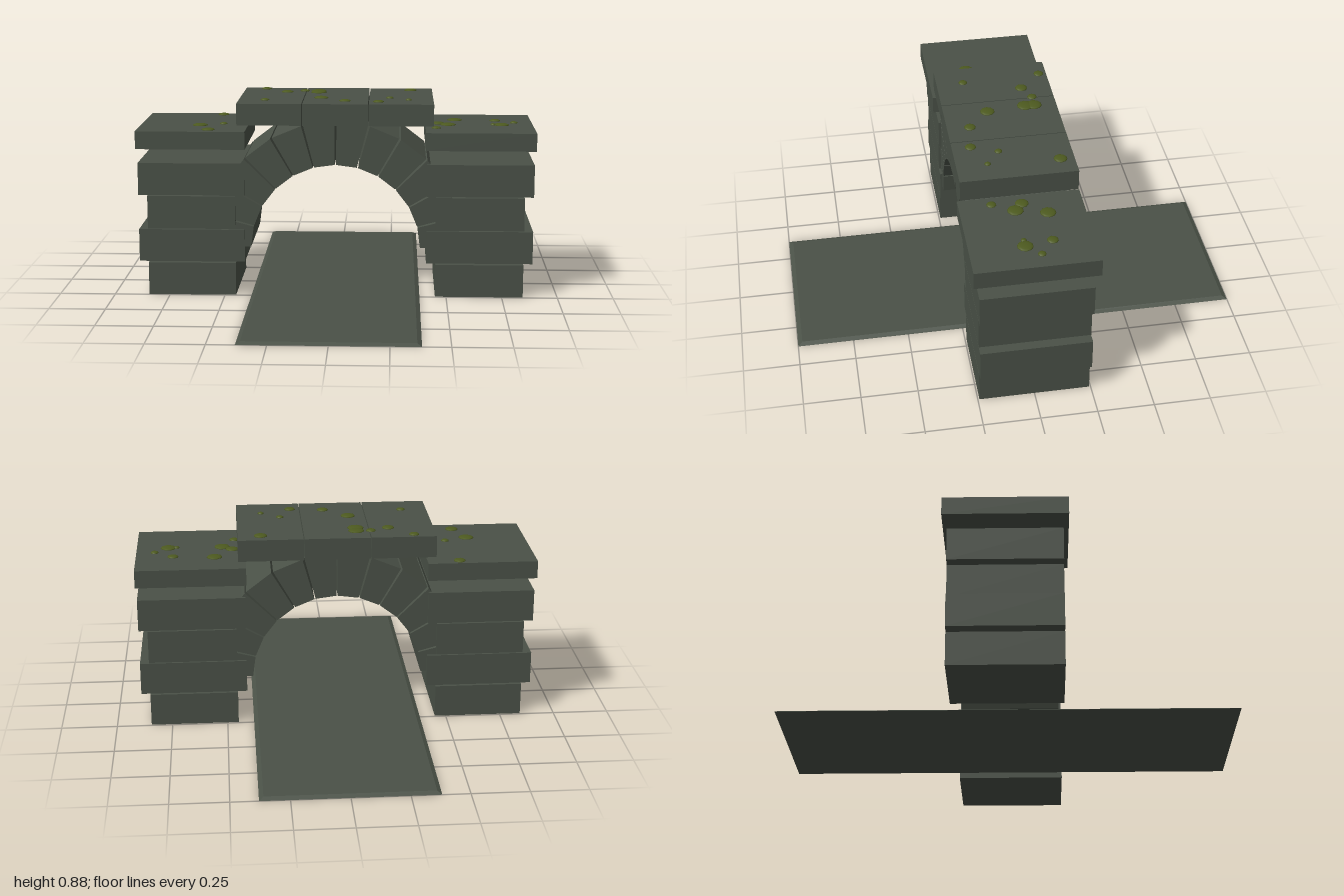
import * as THREE from 'three';

export function createModel() {
  const model = new THREE.Group();
  model.name = 'stoneArchBridge';

  const stone = new THREE.MeshStandardMaterial({ color: 0x4a5147 });
  stone.name = 'mossy grey stone';
  const moss = new THREE.MeshStandardMaterial({ color: 0x4d5a1f });
  moss.name = 'moss green';

  const add = (name, geometry, material, parent = model) => {
    const mesh = new THREE.Mesh(geometry, material);
    mesh.name = name;
    parent.add(mesh);
    return mesh;
  };

  // Block given by its x and y limits and its depth, centred on z = 0
  const block = (name, x0, x1, y0, y1, depth, parent) => {
    const mesh = add(name, new THREE.BoxGeometry(x1 - x0, y1 - y0, depth), stone, parent);
    mesh.position.set((x0 + x1) / 2, (y0 + y1) / 2, 0);
  };

  // Pillars of alternating narrow and wide courses, each under a loose cap slab
  const courses = [
    [0.45, 0.845, 0, 0.148],
    [0.408, 0.885, 0.155, 0.302],
    [0.45, 0.845, 0.306, 0.455],
    [0.408, 0.885, 0.46, 0.605],
  ];
  for (const side of [1, -1]) {
    const pillar = new THREE.Group();
    pillar.name = side > 0 ? 'leftPillar' : 'rightPillar';
    model.add(pillar);
    const mirrored = (name, a, b, y0, y1, depth) =>
      block(name, Math.min(a * side, b * side), Math.max(a * side, b * side), y0, y1, depth, pillar);
    courses.forEach(([a, b, y0, y1], i) => mirrored(`pillarCourse${i + 1}`, a, b, y0, y1, 0.486));
    mirrored('capSlab', 0.402, 0.89, 0.672, 0.752, 0.534);
  }

  // Ring of twelve wedge stones with narrow joints
  const arch = new THREE.Group();
  arch.name = 'archRing';
  model.add(arch);
  const count = 12, inner = 0.38, outer = 0.575, springY = 0.22, depth = 0.464, joint = 0.008;
  for (let i = 0; i < count; i++) {
    const a0 = (i / count) * Math.PI + joint;
    const a1 = ((i + 1) / count) * Math.PI - joint;
    const at = (r, a) => new THREE.Vector2(r * Math.cos(a), springY + r * Math.sin(a));
    const wedge = new THREE.Shape([at(inner, a0), at(outer, a0), at(outer, a1), at(inner, a1)]);
    const geometry = new THREE.ExtrudeGeometry(wedge, { depth, bevelEnabled: false });
    geometry.translate(0, 0, -depth / 2);
    add(`archStone${i + 1}`, geometry, stone, arch);
  }

  // Three slabs across the crown
  [[-0.438, -0.15], [-0.146, 0.144], [0.148, 0.436]].forEach(([a, b], i) =>
    block(`crownSlab${i + 1}`, a, b, 0.78, 0.877, 0.514, model));

  // Thin path through the arch, its top edge drawn in
  const path = new THREE.BoxGeometry(0.76, 0.01, 2);
  path.translate(0, 0.005, 0);
  const p = path.attributes.position;
  for (let i = 0; i < p.count; i++) {
    if (p.getY(i) > 0.005) p.setXYZ(i, p.getX(i) * 0.95, p.getY(i), p.getZ(i) * 0.98);
  }
  path.computeVertexNormals();
  add('path', path, stone);

  // Flattened moss tufts: [x, z, radius] on each top surface
  const tufts = (name, y, list) => {
    const group = new THREE.Group();
    group.name = name;
    model.add(group);
    for (const [x, z, r] of list) {
      const dome = new THREE.SphereGeometry(1, 10, 4, 0, Math.PI * 2, 0, Math.PI / 2);
      const tuft = add('mossTuft', dome, moss, group);
      tuft.scale.set(r, 0.008, r);
      tuft.position.set(x, y, z);
    }
  };
  tufts('rightCapMoss', 0.752, [
    [-0.545, -0.23, 0.027], [-0.517, 0.042, 0.018], [-0.62, 0.08, 0.035], [-0.57, 0.205, 0.03],
  ]);
  tufts('crownMoss', 0.877, [
    [-0.34, -0.222, 0.023], [-0.235, -0.122, 0.028], [-0.155, -0.158, 0.022],
    [-0.09, -0.155, 0.036], [-0.09, -0.115, 0.037], [-0.07, 0.06, 0.033],
    [-0.32, 0.135, 0.02], [0.04, 0.155, 0.026], [0.19, 0.175, 0.025],
    [0.24, 0.06, 0.017], [0.335, -0.195, 0.03], [0.325, 0.12, 0.014],
  ]);
  tufts('leftCapMoss', 0.752, [
    [0.54, -0.105, 0.035], [0.725, -0.09, 0.025], [0.808, -0.03, 0.018], [0.505, 0.03, 0.036],
    [0.748, 0.03, 0.035], [0.71, 0.03, 0.013], [0.46, -0.005, 0.03], [0.45, 0.125, 0.022],
  ]);

  return model;
}
